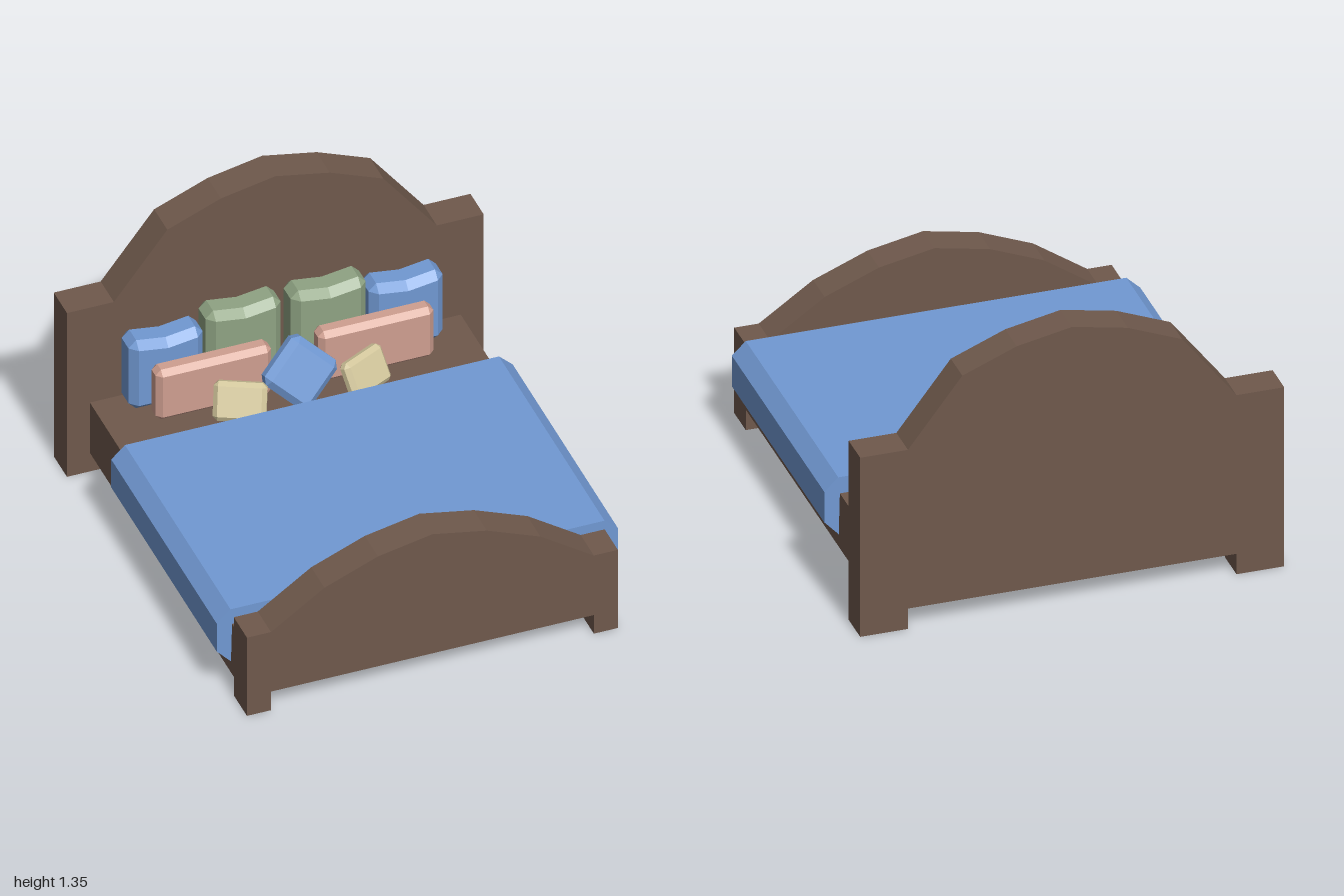
import * as THREE from 'three';

const material = (color) => new THREE.MeshStandardMaterial({ color, flatShading: true });
const wood = material(0x6f594c);
const blue = material(0x7199d3);
const green = material(0x8fa383);
const pink = material(0xcf9f90);
const cream = material(0xd3c79c);

// Extrudes an outline from z0 to z1
function slab(name, points, z0, z1, mat) {
  const shape = new THREE.Shape(points.map(([x, y]) => new THREE.Vector2(x, y)));
  const geo = new THREE.ExtrudeGeometry(shape, { depth: z1 - z0, bevelEnabled: false });
  geo.translate(0, 0, z0);
  const mesh = new THREE.Mesh(geo, mat);
  mesh.name = name;
  return mesh;
}

// Completes a right-hand half outline (bottom to top) with its mirror image
function mirrored(half) {
  const left = half.filter(([x]) => x > 0).reverse().map(([x, y]) => [-x, y]);
  return [...half, ...left];
}

// Arched end board standing on two short feet
function endBoard(name, halfWidth, arch, z0, z1) {
  const half = [[0.74, 0.1], [0.74, 0], [halfWidth, 0], [halfWidth, arch[0][1]], ...arch];
  return slab(name, mirrored(half), z0, z1, wood);
}

// Chamfered cushion built from four outlines; the top edge sags by dent
function pillow(name, mat, [w, h, t], c, dent, position, [pitch, yaw, roll] = [0, 0, 0]) {
  const x = w / 2, y = h / 2, z = t / 2;
  const outer = [
    [x, c - y], [x, y - c], [x - c, y], [0, y - dent], [c - x, y],
    [-x, y - c], [-x, c - y], [c - x, -y], [x - c, -y],
  ];
  const inner = outer.map(([px, py], i) => [
    THREE.MathUtils.clamp(px, c - x, x - c),
    i === 3 ? y - c - dent : THREE.MathUtils.clamp(py, c - y, y - c),
  ]);
  const rings = [[inner, -z], [outer, c - z], [outer, z - c], [inner, z]];
  const n = outer.length;
  const verts = [];
  const faces = [];
  rings.forEach(([ring, pz]) => ring.forEach(([px, py]) => verts.push(px, py, pz)));
  for (let r = 0; r < 3; r++) {
    for (let i = 0; i < n; i++) {
      const a = r * n + i, b = r * n + (i + 1) % n;
      faces.push(a, b, b + n, a, b + n, a + n);
    }
  }
  // Front and back caps fan out from the middle of the top edge
  for (let k = 1; k < n - 1; k++) {
    const a = (3 + k) % n, b = (4 + k) % n;
    faces.push(3 * n + 3, 3 * n + a, 3 * n + b, 3, b, a);
  }
  const geo = new THREE.BufferGeometry();
  geo.setAttribute('position', new THREE.Float32BufferAttribute(verts, 3));
  geo.setIndex(faces);
  geo.computeVertexNormals();
  const mesh = new THREE.Mesh(geo, mat);
  mesh.name = name;
  mesh.position.set(...position);
  mesh.rotation.set(pitch, yaw, roll, 'YXZ');
  return mesh;
}

export function createModel() {
  const bed = new THREE.Group();
  bed.name = 'bed';

  // Frame
  bed.add(endBoard('headboard', 0.955,
    [[0.74, 0.88], [0.495, 1.2], [0.25, 1.3], [0, 1.35]], -1, -0.845));
  bed.add(endBoard('footboard', 0.85,
    [[0.74, 0.42], [0.495, 0.59], [0.25, 0.69], [0, 0.74]], 0.845, 1));
  const base = new THREE.Mesh(new THREE.BoxGeometry(1.7, 0.27, 1.69), wood);
  base.name = 'base';
  base.position.y = 0.235;
  bed.add(base);

  // Blanket folded over both sides of the base
  const drape = [[0.85, 0.37], [0.855, 0.17], [0.92, 0.24], [0.92, 0.39], [0.857, 0.45]];
  bed.add(slab('blanket', mirrored(drape), -0.415, 0.825, blue));

  // Cushions in mirrored pairs
  for (const s of [-1, 1]) {
    const side = s > 0 ? 'left' : 'right';
    bed.add(pillow(side + 'OuterPillow', blue, [0.34, 0.365, 0.15], 0.035, 0.02,
      [s * 0.55, 0.5625, -0.765]));
    bed.add(pillow(side + 'InnerPillow', green, [0.345, 0.425, 0.15], 0.035, 0.02,
      [s * 0.195, 0.5925, -0.765]));
    bed.add(pillow(side + 'LongCushion', pink, [0.53, 0.265, 0.095], 0.025, 0,
      [s * 0.372, 0.5075, -0.643]));
    bed.add(pillow(side + 'SmallCushion', cream, [0.23, 0.175, 0.065], 0.02, 0,
      [s * 0.287 - 0.005, 0.46, -0.51], [-0.44, s * 0.46, 0]));
  }

  // Centre cushion standing on one corner
  bed.add(pillow('centreCushion', blue, [0.26, 0.26, 0.1], 0.03, 0,
    [-0.012, 0.525, -0.533], [-0.36, 0, Math.PI / 4]));

  return bed;
}
